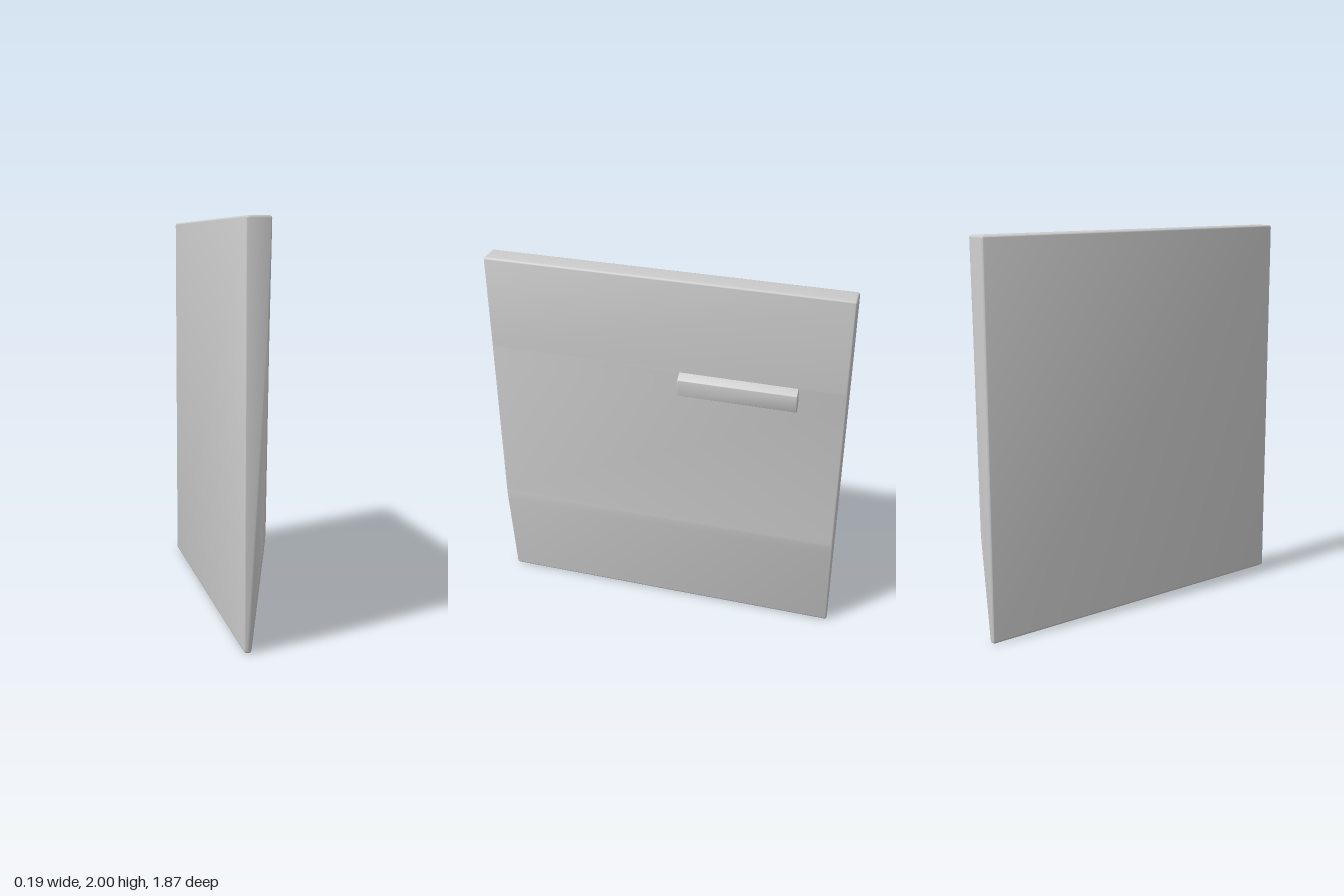
import * as THREE from 'three';
import { toCreasedNormals } from 'three/addons/utils/BufferGeometryUtils.js';

const material = new THREE.MeshStandardMaterial({ color: 0xcccccc });

// Closed polygon with each corner [x, y, radius] rounded off
function roundedShape(corners) {
  const shape = new THREE.Shape();
  const n = corners.length;
  corners.forEach(([x, y, r], i) => {
    const p = new THREE.Vector2(x, y);
    const toward = ([qx, qy]) =>
      new THREE.Vector2(qx, qy).sub(p).setLength(r).add(p);
    const a = toward(corners[(i + n - 1) % n]);
    const b = toward(corners[(i + 1) % n]);
    if (i === 0) shape.moveTo(a.x, a.y);
    else shape.lineTo(a.x, a.y);
    shape.quadraticCurveTo(x, y, b.x, b.y);
  });
  shape.closePath();
  return shape;
}

// Sweep a side profile from z0 to z1 with rounded ends, then skew it along z
function slab(name, corners, z0, z1, bevel) {
  const geometry = new THREE.ExtrudeGeometry(roundedShape(corners), {
    depth: z1 - z0 - 2 * bevel,
    bevelSize: bevel,
    bevelThickness: bevel,
    bevelOffset: -bevel,
    bevelSegments: 4,
    curveSegments: 5,
  });
  geometry.translate(0, 0, z0 + bevel);
  const pos = geometry.attributes.position;
  for (let i = 0; i < pos.count; i++) {
    pos.setX(i, pos.getX(i) - 0.0187 * pos.getZ(i));
  }
  const mesh = new THREE.Mesh(toCreasedNormals(geometry, 0.6), material);
  mesh.name = name;
  return mesh;
}

export function createModel() {
  const group = new THREE.Group();
  group.name = 'doorPanel';

  // Door: flat inner face, outer face that tapers in towards the bottom
  group.add(slab('door', [
    [-0.077, 0, 0.015],
    [-0.042, 0, 0.015],
    [0.023, 0.55, 0.04],
    [0.035, 1.47, 0.04],
    [0.045, 2, 0.016],
    [-0.077, 2, 0.016],
  ], -0.935, 0.935, 0.012));

  // Handle: narrow bar with a sloping top, set into the outer face
  group.add(slab('handle', [
    [0.025, 1.4, 0.006],
    [0.07, 1.381, 0.006],
    [0.079, 1.476, 0.006],
    [0.025, 1.504, 0.006],
  ], -0.695, -0.083, 0.005));

  return group;
}
